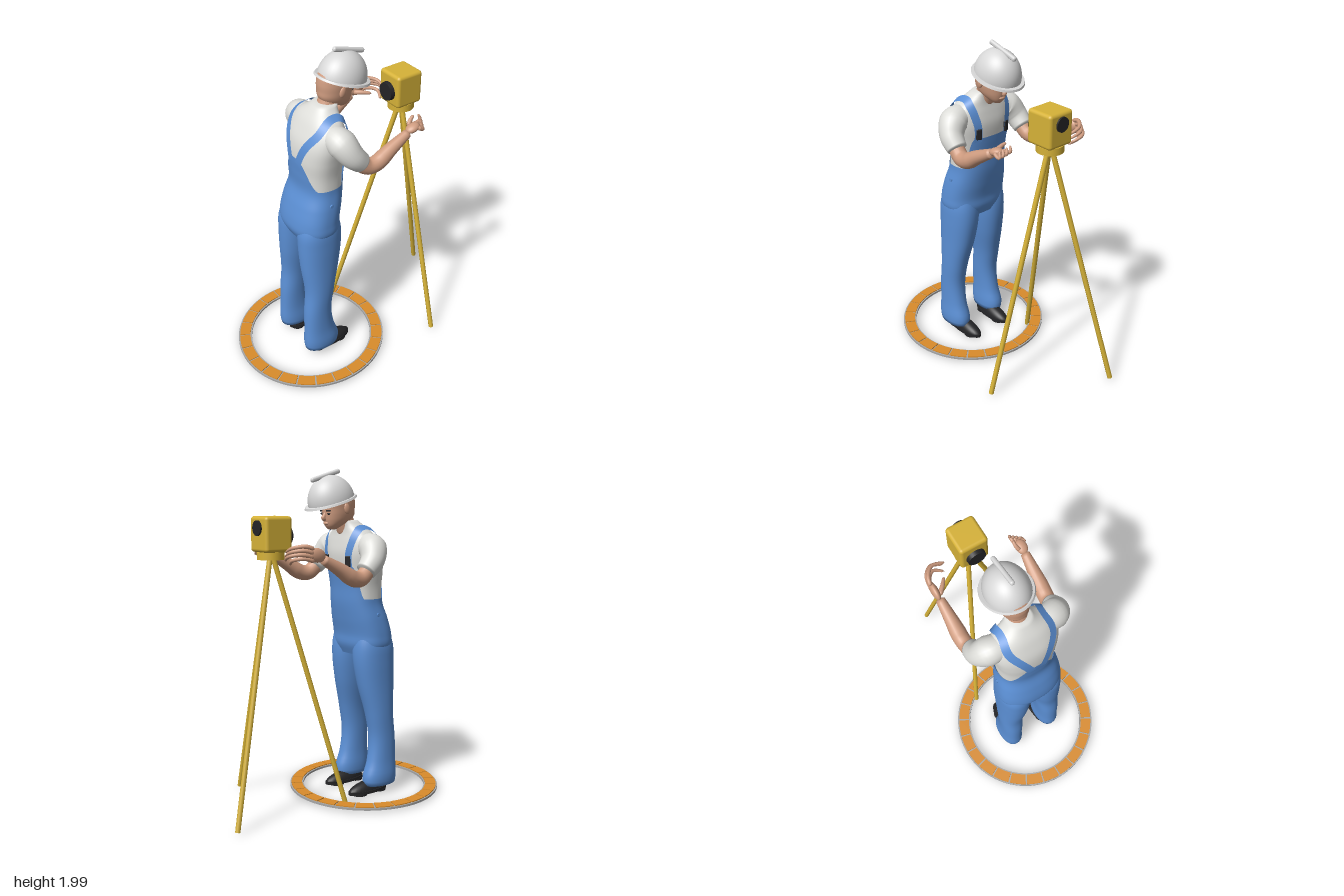
import * as THREE from 'three';
import { mergeVertices } from 'three/addons/utils/BufferGeometryUtils.js';
import { RoundedBoxGeometry } from 'three/addons/geometries/RoundedBoxGeometry.js';

const mat = (name, color, side = THREE.FrontSide) => {
  const m = new THREE.MeshStandardMaterial({ color, side });
  m.name = name;
  return m;
};
const V = (x, y, z) => new THREE.Vector3(x, y, z);

// Smooth surface from f(u, v): u runs around (closed), v runs up
function surface(f, nu, nv) {
  const pos = [], idx = [];
  for (let j = 0; j <= nv; j++)
    for (let i = 0; i < nu; i++) pos.push(...f((i / nu) * Math.PI * 2, j / nv));
  for (let j = 0; j < nv; j++)
    for (let i = 0; i < nu; i++) {
      const a = j * nu + i, b = j * nu + ((i + 1) % nu);
      idx.push(a, a + nu, b, b, a + nu, b + nu);
    }
  const g = new THREE.BufferGeometry();
  g.setAttribute('position', new THREE.Float32BufferAttribute(pos, 3));
  g.setIndex(idx);
  g.computeVertexNormals();
  return g;
}

// Superellipse sections, rows of [y, centre x, half x, centre z, half z]
function sections(rows, n = 2.4) {
  const it = new THREE.CubicInterpolant(rows.map(r => r[0]), rows.flatMap(r => r.slice(1)), 4);
  const pw = c => Math.sign(c) * Math.abs(c) ** (2 / n);
  return (t, y, off = 0, s = 1) => {
    const [cx, a, cz, b] = it.evaluate(y);
    return [cx + s * (a + off) * pw(Math.cos(t)), y, cz + s * (b + off) * pw(Math.sin(t))];
  };
}
function loft(rows, n, nv = 36) {
  const f = sections(rows, n), y0 = rows[0][0], y1 = rows[rows.length - 1][0];
  return surface((t, v) => {
    const k = THREE.MathUtils.clamp((v * (nv + 2) - 1) / nv, 0, 1);
    return f(t, y0 + (y1 - y0) * k, 0, v === 0 || v === 1 ? 0 : 1);
  }, 40, nv + 2);
}

// Tapered tube through points, closed at both ends
function taper(points, radii, seg = 20, sides = 14) {
  const curve = new THREE.CatmullRomCurve3(points.map(p => V(...p)));
  const g = new THREE.TubeGeometry(curve, seg, 1, sides);
  const p = g.attributes.position, v = V();
  for (let i = 0; i < p.count; i++) {
    const ring = Math.floor(i / (sides + 1)), t = ring / seg, k = t * (radii.length - 1);
    const a = Math.min(Math.floor(k), radii.length - 2);
    const r = ring === 0 || ring === seg ? 0 : THREE.MathUtils.lerp(radii[a], radii[a + 1], k - a);
    const c = curve.getPointAt(t);
    v.fromBufferAttribute(p, i).sub(c).multiplyScalar(r).add(c);
    p.setXYZ(i, v.x, v.y, v.z);
  }
  g.deleteAttribute('uv');
  g.deleteAttribute('normal');
  const m = mergeVertices(g);
  m.computeVertexNormals();
  return m;
}

export function createModel() {
  const root = new THREE.Group();
  const denim = mat('blue denim', 0x5b8fd4, THREE.DoubleSide);
  const shirt = mat('white cotton', 0xdededa), shell = mat('helmet white', 0xd8d8d8);
  const skin = mat('skin', 0xcf9c80), yellow = mat('instrument yellow', 0xd6b238);
  const black = mat('black', 0x242426), orange = mat('orange', 0xd98c2b), grey = mat('grey', 0xa8a8a8);
  const add = (name, geo, m, p = [0, 0, 0], parent = root) => {
    const o = new THREE.Mesh(geo, m);
    o.name = name;
    o.position.set(...p);
    parent.add(o);
    return o;
  };
  const ball = (name, m, p, s, parent) => {
    const o = add(name, new THREE.SphereGeometry(1, 24, 16), m, p, parent);
    o.scale.set(...s);
    return o;
  };

  // Floor ring with orange segments
  const arc = (r0, r1, a0, a1, depth) => {
    const s = new THREE.Shape();
    s.absarc(0, 0, r1, a0, a1, false);
    s.absarc(0, 0, r0, a1, a0, true);
    return new THREE.ExtrudeGeometry(s, { depth, bevelEnabled: false, curveSegments: 8 }).rotateX(-Math.PI / 2);
  };
  const ring = new THREE.Shape().absarc(0, 0, 0.47, 0, Math.PI * 2);
  ring.holes.push(new THREE.Path().absarc(0, 0, 0.385, 0, Math.PI * 2, true));
  add('ringBase', new THREE.ExtrudeGeometry(ring, { depth: 0.013, bevelEnabled: false, curveSegments: 48 })
    .rotateX(-Math.PI / 2), grey, [-0.298, 0.011, 0]);
  for (let i = 0; i < 24; i++) {
    const a = (i * Math.PI) / 12;
    add('ringSegment', arc(0.394, 0.461, a + 0.011, a + Math.PI / 12 - 0.011, 0.006), orange, [-0.298, 0.024, 0]);
  }

  // Tripod and instrument
  for (const [x, z] of [[0.01, -0.215], [0.37, 0.425], [0.75, -0.21]]) {
    const a = V(x, 0.012, z), b = V(0.383 + (x - 0.383) * 0.03, 1.485, z * 0.03), d = b.clone().sub(a);
    const leg = add('tripodLeg', new THREE.CylinderGeometry(0.015, 0.015, d.length(), 8), yellow,
      a.clone().add(b).multiplyScalar(0.5).toArray());
    leg.quaternion.setFromUnitVectors(V(0, 1, 0), d.normalize());
  }
  add('tripodHead', new THREE.CylinderGeometry(0.078, 0.078, 0.042, 32), yellow, [0.385, 1.499, 0]);
  add('instrumentBody', new RoundedBoxGeometry(0.176, 0.2, 0.174, 4, 0.02), yellow, [0.379, 1.62, 0]);
  add('lens', new THREE.CylinderGeometry(0.043, 0.043, 0.03, 32).rotateZ(Math.PI / 2), black, [0.462, 1.655, 0]);
  add('eyepiece', new THREE.CylinderGeometry(0.054, 0.058, 0.04, 32).rotateZ(Math.PI / 2), black, [0.286, 1.61, 0]);

  // Torso: shirt, then overalls following the same sections
  const torso = [
    [0.88, -0.28, 0.11, 0, 0.17], [0.94, -0.281, 0.134, 0, 0.197], [1.0, -0.278, 0.134, 0, 0.197],
    [1.1, -0.255, 0.131, 0, 0.187], [1.2, -0.23, 0.122, 0, 0.17], [1.3, -0.228, 0.125, 0, 0.172],
    [1.4, -0.223, 0.132, 0, 0.187], [1.5, -0.211, 0.128, 0, 0.2], [1.57, -0.2, 0.107, 0, 0.19],
    [1.62, -0.19, 0.088, 0, 0.15], [1.66, -0.172, 0.072, 0, 0.094], [1.69, -0.152, 0.063, 0, 0.066]];
  add('shirt', loft(torso.slice(4), 2.4), shirt);
  const body = sections(torso);
  const step = THREE.MathUtils.smoothstep;
  const top = t => {
    const d = Math.abs(THREE.MathUtils.radToDeg(t > Math.PI ? t - Math.PI * 2 : t));
    return 1.225 + 0.195 * (1 - step(d, 34, 66)) + 0.175 * step(d, 125, 176);
  };
  add('overallsBody', surface((t, v) => body(t, 0.88 + (top(t) - 0.88) * v, 0.007), 96, 36), denim);

  const legRows = [
    [0.055, -0.312, 0.112, 0.14, 0.068], [0.1, -0.312, 0.118, 0.141, 0.073], [0.2, -0.325, 0.1, 0.14, 0.067],
    [0.35, -0.33, 0.088, 0.137, 0.068], [0.5, -0.311, 0.092, 0.133, 0.074], [0.7, -0.293, 0.122, 0.114, 0.091],
    [0.85, -0.283, 0.135, 0.105, 0.1], [0.94, -0.281, 0.132, 0.102, 0.1], [1.02, -0.275, 0.11, 0.1, 0.085]];

  for (const s of [1, -1]) {
    const side = s > 0 ? 'right' : 'left';
    add(side + 'TrouserLeg', loft(legRows.map(r => [r[0], r[1], r[2], r[3] * s, r[4]]), 2.2), denim);

    // Shoe: flattened upper on a sole with a heel
    const up = new THREE.SphereGeometry(1, 28, 18), p = up.attributes.position;
    for (let i = 0; i < p.count; i++) {
      const x = p.getX(i);
      p.setXYZ(i, x * 0.143, Math.max(0, p.getY(i)) * (0.062 - 0.014 * x), p.getZ(i) * (0.049 + 0.006 * x));
    }
    up.computeVertexNormals();
    add(side + 'Shoe', up, black, [-0.236, 0.02, s * 0.12]);
    const sole = add(side + 'Sole', new THREE.CylinderGeometry(1, 1, 0.018, 32), black, [-0.236, 0.019, s * 0.12]);
    sole.scale.set(0.147, 1, 0.054);
    for (const [x, r] of [[-0.325, 0.045], [-0.17, 0.05]])
      add(side + 'Tread', new THREE.CylinderGeometry(r, r, 0.015, 24), black, [x, 0.0075, s * 0.12]);

    // Strap laid over the shoulder
    const path = new THREE.SplineCurve([[28, 1.4], [28, 1.5], [38, 1.58], [60, 1.625], [90, 1.64], [120, 1.622],
      [145, 1.56], [162, 1.48], [173, 1.37]].map(q => new THREE.Vector2(THREE.MathUtils.degToRad(q[0]) * s, q[1])));
    const at = (t, y) => V(...body(t, y));
    const pos = [], idx = [], N = 48;
    for (let i = 0; i <= N; i++) {
      const q = path.getPoint(i / N), c = at(q.x, q.y);
      const q0 = path.getPoint(Math.max(0, i - 1) / N), q1 = path.getPoint(Math.min(N, i + 1) / N);
      const n = at(q.x, q.y + 0.01).sub(at(q.x, q.y - 0.01))
        .cross(at(q.x + 0.05, q.y).sub(at(q.x - 0.05, q.y))).normalize();
      const w = at(q1.x, q1.y).sub(at(q0.x, q0.y)).normalize().cross(n).multiplyScalar(0.024);
      c.addScaledVector(n, 0.012);
      pos.push(...c.clone().add(w), ...c.clone().sub(w));
      if (i < N) idx.push(2 * i, 2 * i + 2, 2 * i + 1, 2 * i + 1, 2 * i + 2, 2 * i + 3);
    }
    const strap = new THREE.BufferGeometry();
    strap.setAttribute('position', new THREE.Float32BufferAttribute(pos, 3));
    strap.setIndex(idx);
    strap.computeVertexNormals();
    add(side + 'Strap', strap, denim);
    const bk = body(s * 0.49, 1.45);
    const buckle = add(side + 'Buckle', new RoundedBoxGeometry(0.016, 0.065, 0.034, 2, 0.006), black,
      [bk[0] + 0.014, 1.452, bk[2]]);
    buckle.rotation.y = -s * 0.35;
    add(side + 'HipButton', new THREE.CylinderGeometry(0.011, 0.011, 0.008, 16).rotateX(Math.PI / 2), denim,
      [-0.25, 1.13, s * 0.192]);

    // Sleeve and bare arm
    add(side + 'Sleeve', taper([[-0.2, 1.545, s * 0.12], [-0.19, 1.53, s * 0.2], [-0.155, 1.465, s * 0.247],
      [-0.09, 1.395, s * 0.257]], [0.07, 0.084, 0.07, 0.057], 24, 24), shirt);
    add(side + 'Arm', taper([[-0.14, 1.44, s * 0.25], [-0.06, 1.366, s * 0.262], [-0.005, 1.366, s * 0.268],
      [0.1, 1.425, s * 0.27], [0.225, 1.492, s * 0.272]], [0.045, 0.047, 0.047, 0.036, 0.025], 30, 18), skin);

    // Ear, eye and brow
    ball(side + 'Ear', skin, [-0.093, 1.758, s * 0.083], [0.02, 0.032, 0.011]).rotation.z = -0.25;
    ball(side + 'Eye', black, [0.004, 1.729, s * 0.034], [0.007, 0.006, 0.012]);
    const brow = add(side + 'Brow', new THREE.CapsuleGeometry(0.004, 0.026, 4, 8).rotateX(Math.PI / 2), black,
      [0.009, 1.746, s * 0.036]);
    brow.rotation.y = -s * 0.35;
  }

  // Hand reaching around the instrument
  ball('leftPalm', skin, [0.262, 1.512, -0.277], [0.058, 0.04, 0.022]).rotation.z = 0.2;
  for (let i = 0; i < 4; i++) {
    const y = 1.543 - i * 0.022, r = 0.33 + 0.012 * (i % 3);
    add('leftFinger', taper([[0.28, y, -0.285], [r, y + 0.018, -0.275], [r + 0.055, y + 0.008, -0.225],
      [r + 0.05 - i * 0.006, y - 0.02, -0.145 - i * 0.006]], [0.013, 0.012, 0.01, 0.007], 14, 10), skin);
  }
  add('leftThumb', taper([[0.23, 1.5, -0.265], [0.27, 1.505, -0.225], [0.315, 1.5, -0.19]],
    [0.016, 0.013, 0.008], 10, 10), skin);
  // Open hand, fingers curled up
  ball('rightPalm', skin, [0.25, 1.507, 0.27], [0.045, 0.024, 0.034]).rotation.z = 0.3;
  for (let i = 0; i < 4; i++) {
    const z = 0.245 + i * 0.018, x = 0.328 - i * 0.008;
    add('rightFinger', taper([[0.265, 1.515, z], [0.3, 1.512 - i * 0.006, z], [x, 1.525 - i * 0.01, z - 0.005],
      [x - 0.012, 1.555 - i * 0.008, z - 0.012]], [0.012, 0.011, 0.01, 0.006], 12, 10), skin);
  }
  add('rightThumb', taper([[0.235, 1.51, 0.25], [0.262, 1.54, 0.236], [0.285, 1.56, 0.234]],
    [0.014, 0.012, 0.007], 10, 10), skin);

  // Neck, head and face
  add('neck', taper([[-0.16, 1.62, 0], [-0.135, 1.68, 0], [-0.1, 1.76, 0]], [0.06, 0.058, 0.06], 14, 24), skin);
  add('head', loft([[1.638, -0.045, 0.024, 0, 0.024], [1.655, -0.052, 0.046, 0, 0.042],
    [1.685, -0.078, 0.083, 0, 0.064], [1.72, -0.09, 0.1, 0, 0.076], [1.76, -0.09, 0.103, 0, 0.082],
    [1.8, -0.085, 0.108, 0, 0.085], [1.85, -0.08, 0.1, 0, 0.08], [1.9, -0.07, 0.065, 0, 0.055]], 2.2), skin);
  add('nose', taper([[0.003, 1.738, 0], [0.012, 1.718, 0], [0.02, 1.703, 0], [0.002, 1.695, 0]],
    [0.007, 0.009, 0.013, 0.01], 14, 12), skin);
  ball('lips', skin, [-0.003, 1.673, 0], [0.012, 0.01, 0.022]);

  // Helmet, tipped forward
  const helmet = new THREE.Group();
  helmet.name = 'helmet';
  helmet.position.set(-0.035, 1.797, 0);
  helmet.rotation.z = -0.292;
  root.add(helmet);
  const crown = add('helmetCrown', new THREE.SphereGeometry(1, 40, 20, 0, Math.PI * 2, 0, Math.PI / 2), shell,
    [-0.006, 0, 0], helmet);
  crown.scale.set(0.147, 0.156, 0.126);
  const brim = add('helmetBrim', new THREE.CylinderGeometry(0.97, 1, 0.012, 48), shell, [0, 0, 0], helmet);
  brim.scale.set(0.167, 1, 0.145);
  add('helmetRidge', new RoundedBoxGeometry(0.212, 0.028, 0.026, 4, 0.012), shell, [-0.006, 0.156, 0], helmet);
  return root;
}
